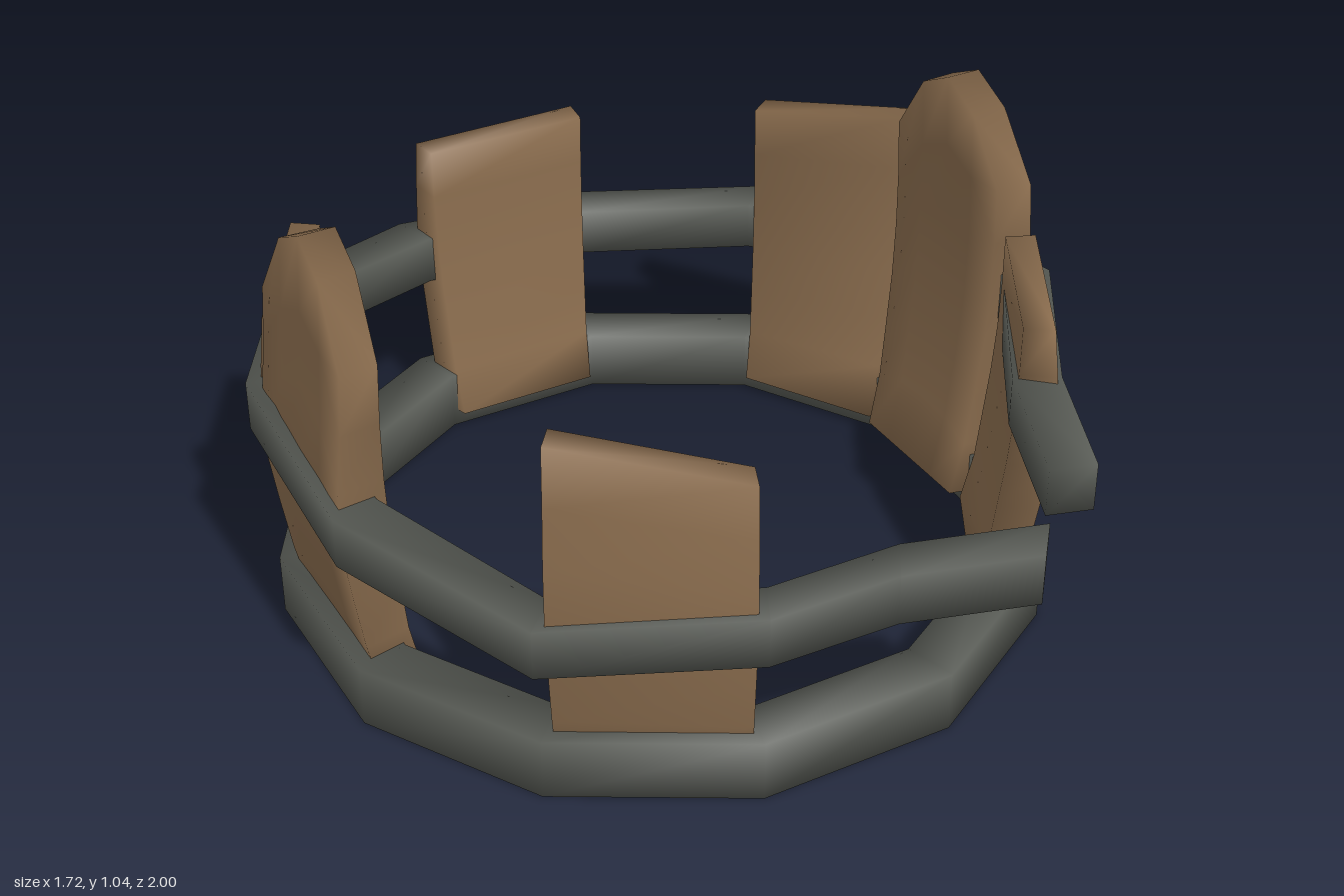
import * as THREE from 'three';
import { mergeVertices } from 'three/addons/utils/BufferGeometryUtils.js';

const CZ = -0.12; // z of the barrel axis

// Bar of rectangular section following a polyline with mitred corners, smooth all over
function bar(points, width, height, closed) {
  const n = points.length, pos = [], idx = [];
  const up = new THREE.Vector3(0, 1, 0);
  const flat = (a, b) => b.clone().sub(a).setY(0).normalize();
  const corners = [[1, 1], [-1, 1], [-1, -1], [1, -1]];
  points.forEach((p, i) => {
    const before = closed || i > 0 ? flat(points[(i + n - 1) % n], p) : null;
    const after = closed || i < n - 1 ? flat(p, points[(i + 1) % n]) : null;
    const a = before || after, b = after || before;
    const t = a.clone().add(b).normalize();
    const side = t.clone().cross(up).multiplyScalar(1 / t.dot(a));
    for (const [s, u] of corners) {
      const v = p.clone().addScaledVector(side, s * width / 2).addScaledVector(up, u * height / 2);
      pos.push(v.x, v.y, v.z);
    }
  });
  for (let i = 0; i < (closed ? n : n - 1); i++) {
    for (let j = 0; j < 4; j++) {
      const k = (i + 1) % n, m = (j + 1) % 4;
      const a = i * 4 + j, b = k * 4 + j, c = k * 4 + m, d = i * 4 + m;
      idx.push(a, b, c, a, c, d);
    }
  }
  // End caps on an open bar
  if (!closed) {
    const e = (n - 1) * 4;
    idx.push(0, 1, 2, 0, 2, 3, e, e + 2, e + 1, e, e + 3, e + 2);
  }
  const g = new THREE.BufferGeometry();
  g.setAttribute('position', new THREE.Float32BufferAttribute(pos, 3));
  g.setIndex(idx);
  g.computeVertexNormals();
  return g;
}

// Stave profile: height, outer radius, inner radius
const PROFILE = [
  [0.04, 0.772, 0.69], [0.14, 0.797, 0.715], [0.42, 0.84, 0.745],
  [0.55, 0.838, 0.752], [0.73, 0.818, 0.752], [1.04, 0.798, 0.738],
];
function radiusAt(y, column) {
  let i = 1;
  while (i < PROFILE.length - 1 && y > PROFILE[i][0]) i++;
  const a = PROFILE[i - 1], b = PROFILE[i];
  return THREE.MathUtils.mapLinear(y, a[0], b[0], a[column], b[column]);
}

// Bulging plank whose top edge passes through the given heights across its width
function staveGeometry(tops, extraDepth) {
  const bottom = PROFILE[0][0], across = tops.length - 1;
  let g = new THREE.BoxGeometry(1, 1, 1, across, 6, 1);
  const p = g.attributes.position;
  for (let i = 0; i < p.count; i++) {
    const u = p.getX(i), v = p.getY(i) + 0.5, outer = p.getZ(i) > 0;
    const y = bottom + v * (tops[Math.round((u + 0.5) * across)] - bottom);
    const r = radiusAt(y, 1);
    const width = 0.41 * Math.sqrt(r / 0.84) * (outer ? 1 : 0.88 + 0.08 * v);
    p.setXYZ(i, u * width, y, outer ? r : radiusAt(y, 2) - extraDepth);
  }
  // Weld the faces for soft shading across the edges
  g.deleteAttribute('normal');
  g.deleteAttribute('uv');
  g = mergeVertices(g);
  g.computeVertexNormals();
  return g;
}

export function createModel() {
  const wood = new THREE.MeshStandardMaterial({ color: 0x8c6e4f });
  wood.name = 'brown wood';
  const iron = new THREE.MeshStandardMaterial({ color: 0x575a54 });
  iron.name = 'grey iron';
  const model = new THREE.Group();
  model.name = 'brokenBarrel';
  const add = (name, geometry, material) => {
    const mesh = new THREE.Mesh(geometry, material);
    mesh.name = name;
    model.add(mesh);
    return mesh;
  };

  // Base hoop: a regular twelve-sided ring
  const R = 0.772 / Math.cos(Math.PI / 12);
  const base = [];
  for (let i = 0; i < 12; i++) {
    const a = (i + 0.5) * Math.PI / 6;
    base.push(new THREE.Vector3(R * Math.sin(a), 0.07, CZ + R * Math.cos(a)));
  }
  add('baseHoop', bar(base, 0.116, 0.14, true), iron);

  // Upper hoop: snapped open at the front and bent
  const path = [
    [0.52, 0.475, 0.67], [0.59, 0.54, 0.44], [0.808, 0.56, 0.095],
    [0.808, 0.485, -0.336], [0.59, 0.43, -0.72], [0.22, 0.405, -0.945],
    [-0.22, 0.44, -0.945], [-0.59, 0.52, -0.72], [-0.808, 0.54, -0.336],
    [-0.808, 0.475, 0.095], [-0.59, 0.38, 0.47], [-0.21, 0.415, 0.69],
    [0.02, 0.5, 0.79], [0.23, 0.585, 0.965],
  ].map((q) => new THREE.Vector3(...q));
  add('brokenUpperHoop', bar(path, 0.105, 0.112, false), iron);

  // Remaining staves: name, direction in degrees from the front, top heights, extra depth
  const level = (h) => [h, h];
  const slope = [0.83, 0.75];
  const peak = (h) => [0.83, h - 0.05, h, h - 0.05, 0.83];
  const staves = [
    ['backStave', 180, level(0.73), 0],
    ['leftBackStave', 120, slope, 0],
    ['leftTallStave', 90, peak(1.025), 0.02],
    ['leftFrontStave', 60, level(0.72), 0],
    ['rightFrontStave', -30, slope, 0],
    ['rightTallStave', -90, peak(1.04), 0.02],
    ['rightBackStave', -120, level(0.74), 0],
  ];
  for (const [name, deg, tops, extraDepth] of staves) {
    const mesh = add(name, staveGeometry(tops, extraDepth), wood);
    mesh.rotation.y = THREE.MathUtils.degToRad(deg);
    mesh.position.z = CZ;
  }
  return model;
}
